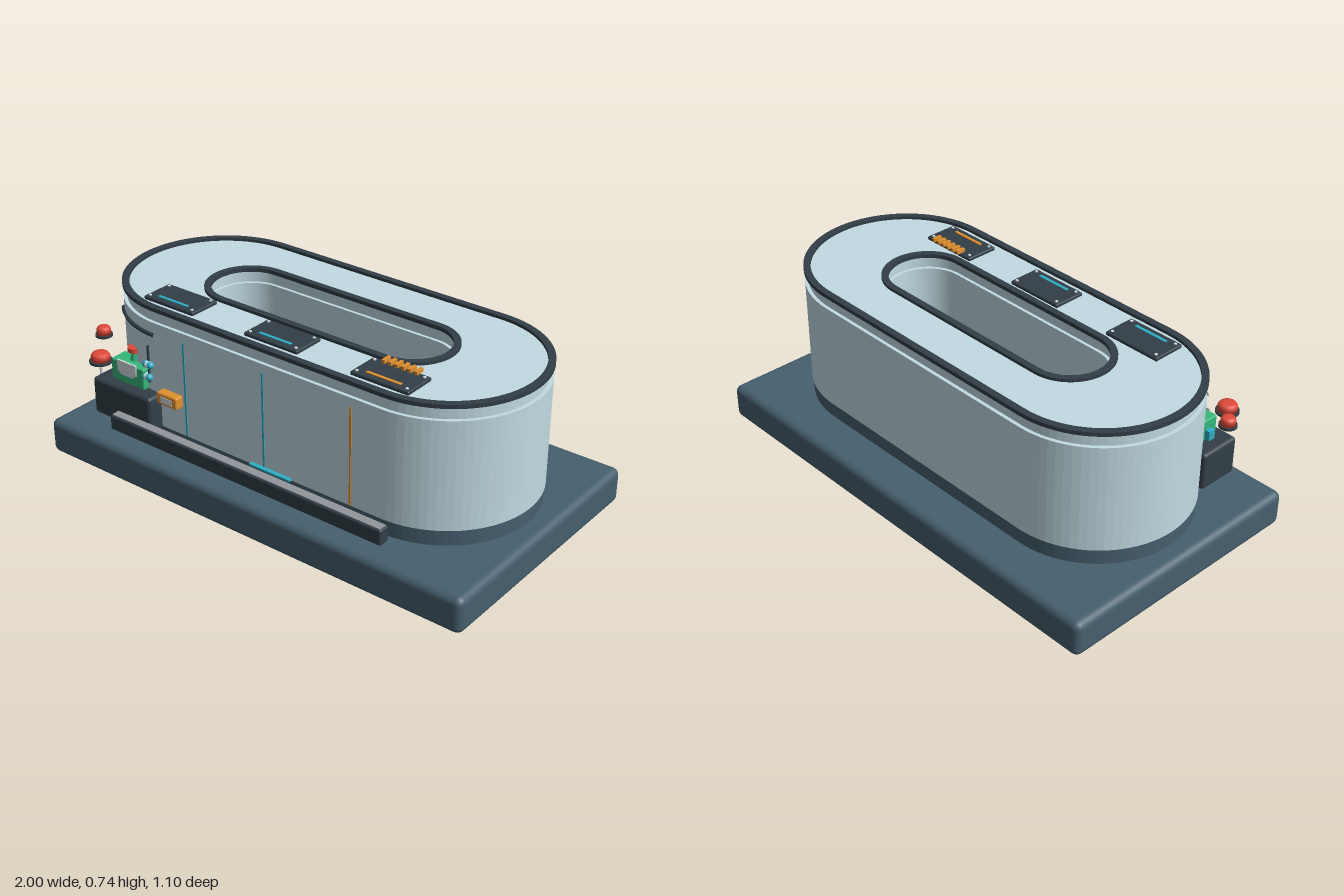
import * as THREE from 'three';
import { RoundedBoxGeometry } from 'three/addons/geometries/RoundedBoxGeometry.js';

const mat = (color) => new THREE.MeshStandardMaterial({ color });
const M = {
  slate: mat(0x465f6e), glass: mat(0xc2dbe3), dark: mat(0x323e47), cyan: mat(0x2fb0c7),
  orange: mat(0xe0902f), red: mat(0xe04a3a), green: mat(0x35b87a), pale: mat(0xd5dde0), grey: mat(0x92979b),
};

// Racetrack outline from its half length and half width
function track(hx, hz, PathType = THREE.Shape) {
  const p = new PathType(), s = hx - hz;
  p.absarc(s, 0, hz, -Math.PI / 2, Math.PI / 2, false);
  p.absarc(-s, 0, hz, Math.PI / 2, Math.PI * 1.5, false);
  p.closePath();
  return p;
}

export function createModel() {
  const model = new THREE.Group();
  const add = (name, geo, material, x = 0, y = 0, z = 0, parent = model) => {
    const m = new THREE.Mesh(geo, material);
    m.name = name;
    m.position.set(x, y, z);
    parent.add(m);
    return m;
  };
  const box = (name, material, w, h, d, x, y, z, parent) =>
    add(name, new THREE.BoxGeometry(w, h, d), material, x, y, z, parent);
  const rbox = (name, material, w, h, d, r, x, y, z, parent) =>
    add(name, new RoundedBoxGeometry(w, h, d, 3, r), material, x, y, z, parent);
  const cyl = (name, material, r0, r1, h, x, y, z, parent) =>
    add(name, new THREE.CylinderGeometry(r0, r1, h, 24), material, x, y, z, parent);
  // Hollow racetrack wall between two heights
  const ring = (name, material, outer, inner, y0, y1) => {
    const shape = track(...outer);
    shape.holes.push(track(...inner, THREE.Path));
    const geo = new THREE.ExtrudeGeometry(shape, { depth: y1 - y0, bevelEnabled: false, curveSegments: 20 });
    geo.rotateX(-Math.PI / 2);
    return add(name, geo, material, 0, y0, 0);
  };

  // Base and tank
  rbox('base', M.slate, 2, 0.15, 1.1, 0.03, 0, 0.075, 0);
  ring('plinth', M.slate, [0.92, 0.383], [0.545, 0.157], 0.145, 0.215);
  ring('tankWall', M.glass, [0.925, 0.388], [0.54, 0.152], 0.215, 0.66);
  ring('tankTop', M.glass, [0.91, 0.374], [0.555, 0.165], 0.66, 0.713);
  ring('outerRim', M.dark, [0.928, 0.39], [0.9, 0.362], 0.709, 0.725);
  ring('innerRim', M.dark, [0.567, 0.177], [0.54, 0.15], 0.709, 0.725);

  // Three instrument panels on the deck
  [[-0.51, M.cyan], [-0.005, M.cyan], [0.485, M.orange]].forEach(([x, accent]) => {
    const panel = new THREE.Group();
    panel.name = 'deckPanel';
    panel.position.set(x, 0.72, 0.265);
    model.add(panel);
    rbox('panelPlate', M.dark, 0.252, 0.016, 0.14, 0.006, 0, 0, 0, panel);
    box('panelStrip', accent, 0.15, 0.004, 0.013, 0, 0.009, 0.039, panel);
    for (const sx of [-1, 1]) for (const sz of [-1, 1])
      cyl('panelScrew', M.pale, 0.006, 0.006, 0.005, sx * 0.108, 0.009, sz * 0.052, panel);
  });
  for (let i = 0; i < 6; i++) box('coolingFin', M.orange, 0.013, 0.015, 0.04, 0.418 + i * 0.028, 0.736, 0.2);

  // Level marks on the front wall
  [[-0.39, M.cyan], [0, M.cyan], [0.405, M.orange]].forEach(([x, m]) =>
    box('levelMark', m, 0.008, 0.405, 0.005, x, 0.42, 0.388));
  box('floorIndicator', M.cyan, 0.195, 0.008, 0.022, 0.037, 0.221, 0.395);

  // Front rail with an inlay
  rbox('frontRail', M.dark, 1.325, 0.065, 0.05, 0.008, -0.04, 0.218, 0.472);
  box('railInlay', M.grey, 1.31, 0.004, 0.036, -0.04, 0.251, 0.472);

  // Control station at the front right corner
  rbox('controlBox', M.dark, 0.31, 0.16, 0.18, 0.015, -0.677, 0.28, 0.365);
  rbox('pumpBody', M.green, 0.175, 0.09, 0.08, 0.006, -0.678, 0.403, 0.37);
  const chute = new THREE.Shape([[-0.05, 0.03], [-0.05, -0.015], [-0.03, -0.03], [0.03, -0.03], [0.05, -0.015], [0.05, 0.03]]
    .map(([x, y]) => new THREE.Vector2(x, y)));
  add('pumpFace', new THREE.ExtrudeGeometry(chute, { depth: 0.008, bevelEnabled: false }), M.pale, -0.677, 0.425, 0.407);
  box('sidePort', M.cyan, 0.022, 0.04, 0.03, -0.777, 0.39, 0.36);

  // Red push buttons
  const button = (x, y, z, r) => {
    cyl('buttonCollar', M.dark, r * 1.2, r * 1.2, 0.01, x, y - 0.021, z);
    const profile = [[0, -0.016], [r, -0.016], [r, 0.004], [r * 0.85, 0.013], [r * 0.5, 0.016], [0, 0.016]];
    add('pushButton', new THREE.LatheGeometry(profile.map(([a, b]) => new THREE.Vector2(a, b)), 24), M.red, x, y, z);
  };
  button(-0.775, 0.471, 0.455, 0.038);
  button(-0.87, 0.511, 0.34, 0.029);
  add('buttonStem', new THREE.CapsuleGeometry(0.006, 0.045, 4, 10), M.pale, -0.775, 0.422, 0.457);
  cyl('pumpCap', M.red, 0.028, 0.028, 0.018, -0.68, 0.495, 0.36);
  cyl('pumpNeck', M.green, 0.014, 0.02, 0.045, -0.68, 0.465, 0.36);

  // Valves on an upright rod
  cyl('valveRod', M.dark, 0.005, 0.005, 0.16, -0.575, 0.475, 0.392);
  [[-0.573, 0.475], [-0.582, 0.42]].forEach(([x, y]) => {
    const valve = add('valve', new THREE.CapsuleGeometry(0.015, 0.024, 6, 14), M.cyan, x, y, 0.398);
    valve.rotation.z = Math.PI / 2;
    const band = cyl('valveBand', M.pale, 0.016, 0.016, 0.01, x, y, 0.398);
    band.rotation.z = Math.PI / 2;
  });

  // Handrail following the curved wall
  const railPoints = [];
  for (let i = 0; i <= 10; i++) {
    const a = Math.PI / 2 + i * 0.077;
    railPoints.push(new THREE.Vector3(-0.537 + 0.39 * Math.cos(a), 0.608, 0.39 * Math.sin(a)));
  }
  add('handrail', new THREE.TubeGeometry(new THREE.CatmullRomCurve3(railPoints), 24, 0.009, 8), M.dark);

  // Meter on the front wall
  rbox('meter', M.orange, 0.105, 0.052, 0.042, 0.008, -0.458, 0.364, 0.405);
  box('meterWindow', M.pale, 0.058, 0.026, 0.004, -0.458, 0.363, 0.426);

  // Fittings inside the well
  rbox('wellUnit', M.orange, 0.15, 0.06, 0.05, 0.006, 0.085, 0.3, -0.127);
  box('wellSensor', M.cyan, 0.03, 0.02, 0.015, 0.49, 0.3, -0.1);

  return model;
}
